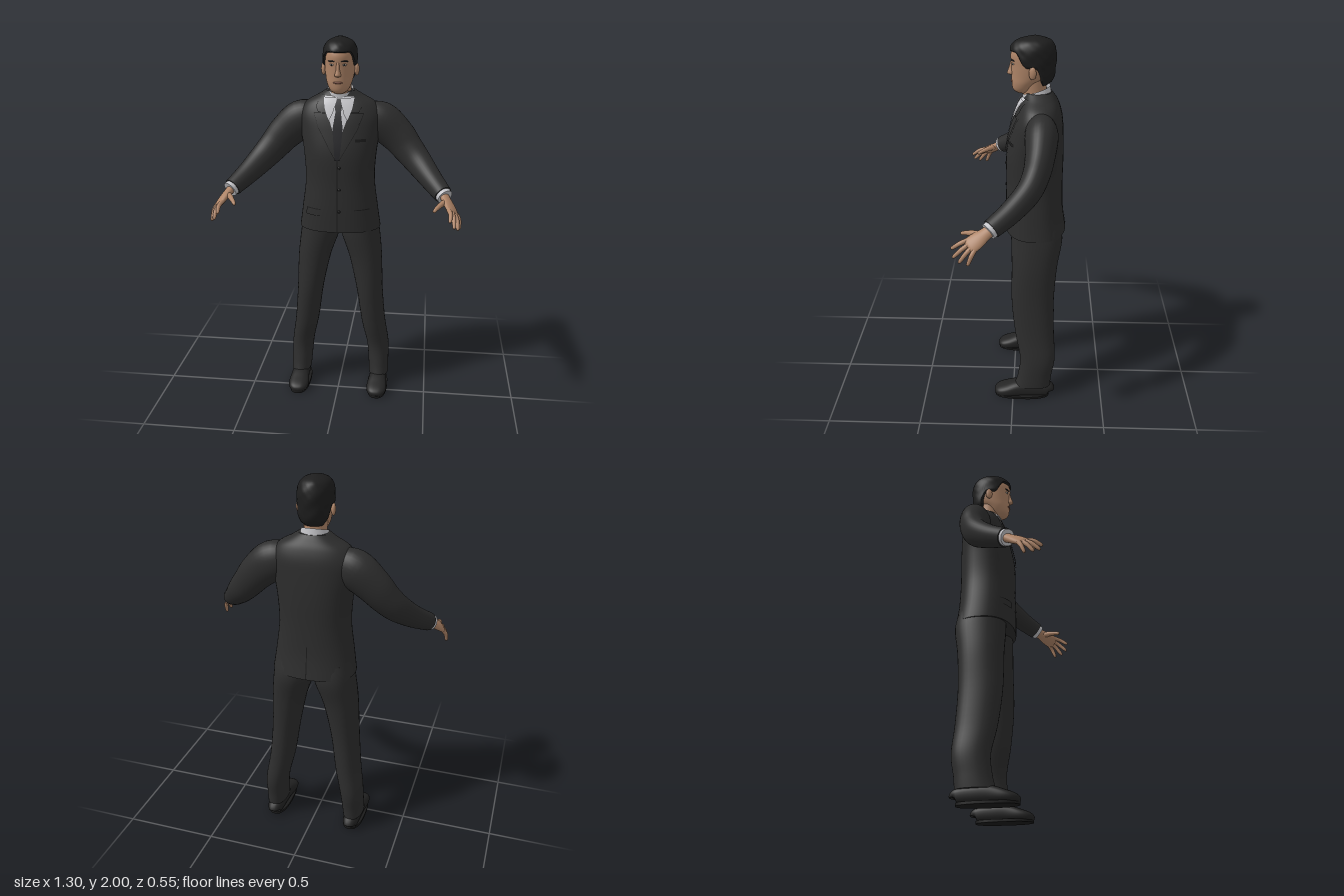
import * as THREE from 'three';

const mat = (name, color, side = THREE.FrontSide) => {
  const m = new THREE.MeshStandardMaterial({ color, side });
  m.name = name;
  return m;
};
const M = {
  suit: mat('suit cloth', 0x2d2d2d),
  seam: mat('seam and buttons', 0x1b1b1b),
  tie: mat('tie silk', 0x252528),
  shirt: mat('shirt cotton', 0xc4c4c8, THREE.DoubleSide),
  skin: mat('skin', 0xae8467),
  lip: mat('lips', 0x8f6050),
  hair: mat('hair', 0x1d1d1d, THREE.DoubleSide),
  eye: mat('eye white', 0xb9b2aa),
  shoe: mat('shoe leather', 0x232323),
};
const V = (x, y, z) => new THREE.Vector3(x, y, z);
const spow = (v, e) => Math.sign(v) * Math.abs(v) ** e;

// Smooth interpolation through rows of numbers, u in 0..1
function sample(rows, u) {
  const n = rows.length - 1, f = Math.min(u * n, n - 1e-9), i = Math.floor(f), t = f - i;
  const at = k => rows[Math.max(0, Math.min(n, k))];
  return rows[i].map((b, k) => {
    const a = at(i - 1)[k], c = at(i + 1)[k], d = at(i + 2)[k];
    return b + 0.5 * t * (c - a + t * (2 * a - 5 * b + 4 * c - d + t * (3 * (b - c) + d - a)));
  });
}
// Row of an upright loft at a given height
function rowAt(rows, y) {
  let lo = 0, hi = 1;
  for (let k = 0; k < 30; k++) {
    const m = (lo + hi) / 2;
    if (sample(rows, m)[1] < y) lo = m; else hi = m;
  }
  return sample(rows, (lo + hi) / 2);
}
// Skin a list of point rings; wrapped rings may be capped
function skinRings(rings, wrap, caps) {
  const pos = [], idx = [], n = rings[0].length;
  const add = p => pos.push(p.x, p.y, p.z) / 3 - 1;
  rings.forEach(r => r.forEach(add));
  for (let i = 0; i < rings.length - 1; i++)
    for (let j = 0; j < (wrap ? n : n - 1); j++) {
      const k = (j + 1) % n, a = i * n + j, b = i * n + k;
      idx.push(a, b, b + n, a, b + n, a + n);
    }
  if (caps) [rings[0], rings[rings.length - 1]].forEach((r, top) => {
    const c = add(r.reduce((s, p) => s.add(p), V(0, 0, 0)).divideScalar(n));
    const first = r.map(add)[0];
    for (let j = 0; j < n; j++) {
      const a = first + j, b = first + (j + 1) % n;
      if (top) idx.push(c, a, b); else idx.push(c, b, a);
    }
  });
  const g = new THREE.BufferGeometry();
  g.setAttribute('position', new THREE.Float32BufferAttribute(pos, 3));
  g.setIndex(idx);
  g.computeVertexNormals();
  return g;
}
// Loft of rows [x, y, z, sideRadius, frontRadius]; with ref the rings follow the path
function loft(rows, { seg = 32, steps = 5, e = 1, ref = null, caps = true, tweak = null } = {}) {
  const N = (rows.length - 1) * steps, rings = [];
  const point = u => V(...sample(rows, Math.max(0, Math.min(1, u))));
  for (let i = 0; i <= N; i++) {
    const u = i / N, [x, y, z, rs, rf] = sample(rows, u);
    let S = V(1, 0, 0), F = V(0, 0, 1);
    if (ref) {
      const T = point(u + 0.02).sub(point(u - 0.02)).normalize();
      F = ref.clone().addScaledVector(T, -ref.dot(T)).normalize();
      S = T.clone().cross(F);
    }
    rings.push(Array.from({ length: seg }, (_, j) => {
      const t = j / seg * Math.PI * 2;
      const p = V(x, y, z).addScaledVector(S, rs * spow(Math.sin(t), e)).addScaledVector(F, rf * spow(Math.cos(t), e));
      if (tweak) tweak(p, t, u);
      return p;
    }));
  }
  return skinRings(rings, true, caps);
}

const TORSO_E = 0.86;
const TORSO = [
  [0, 0.98, -0.115, 0.222, 0.16], [0, 1.1, -0.106, 0.205, 0.152], [0, 1.25, -0.105, 0.187, 0.148],
  [0, 1.4, -0.106, 0.195, 0.148], [0, 1.52, -0.115, 0.213, 0.135], [0, 1.6, -0.122, 0.218, 0.121],
  [0, 1.66, -0.125, 0.185, 0.1], [0, 1.7, -0.125, 0.118, 0.078], [0, 1.725, -0.12, 0.078, 0.066]];
// Thin cloth piece laid on the jacket, rows [y, x0, x1] from bottom to top
function patch(rows, lift, s = 1, dir = 1) {
  const rings = [], N = (rows.length - 1) * 5;
  for (let i = 0; i <= N; i++) {
    const f = Math.min(i / 5, rows.length - 1 - 1e-9), k = Math.floor(f), t = f - k;
    const [y, x0, x1] = rows[k].map((v, c) => v + (rows[k + 1][c] - v) * t);
    const [, , cz, rx, rz] = rowAt(TORSO, y);
    const ring = [];
    for (let j = 0; j <= 6; j++) {
      const x = x0 + (x1 - x0) * j / 6, q = Math.min(1, Math.abs(x) / rx);
      ring.push(V(x * s, y, cz + dir * (rz * (1 - q ** (2 / TORSO_E)) ** (TORSO_E / 2) + lift)));
    }
    rings.push(s * dir < 0 ? ring.reverse() : ring);
  }
  return skinRings(rings, false, false);
}

const HAIR = [
  [0, 1.755, -0.102, 0.06, 0.068], [0, 1.8, -0.097, 0.083, 0.1], [0, 1.86, -0.09, 0.089, 0.114],
  [0, 1.91, -0.09, 0.09, 0.117], [0, 1.95, -0.09, 0.083, 0.108], [0, 1.98, -0.095, 0.06, 0.08],
  [0, 2.0, -0.1, 0.012, 0.015]];
// Hair cap with a hairline that drops from forehead to nape
function hairCap() {
  const rings = [], seg = 72, N = 28, sm = THREE.MathUtils.smoothstep;
  for (let i = 0; i <= N; i++) rings.push(Array.from({ length: seg }, (_, j) => {
    const t = j / seg * Math.PI * 2, c = Math.cos(t);
    const low = 1.855 + 0.072 * sm(c, 0.3, 0.75) - 0.092 * sm(-c, 0.15, 0.6);
    const y = low + (1.999 - low) * Math.sin(i / N * Math.PI / 2);
    const [, , cz, rx, rz] = rowAt(HAIR, y);
    const k = i ? 1 + 0.014 * Math.sin(9 * t + 30 * y) * Math.sin(110 * y + 3 * t) : 0.9;
    return V(rx * k * Math.sin(t), y, cz + rz * k * c);
  }));
  return skinRings(rings, true, true);
}

export function createModel() {
  const root = new THREE.Group();
  root.name = 'man in suit';
  const add = (name, geo, m, parent = root) => {
    const mesh = new THREE.Mesh(geo, m);
    mesh.name = name;
    parent.add(mesh);
    return mesh;
  };
  const blob = (name, m, p, r) => {
    const mesh = add(name, new THREE.SphereGeometry(1, 20, 14), m);
    mesh.position.set(...p);
    mesh.scale.set(...r);
    return mesh;
  };

  // Jacket and its front
  add('jacket', loft(TORSO, { seg: 48, e: TORSO_E }), M.suit);
  add('shirtFront', patch([[1.42, -0.004, 0.004], [1.54, -0.03, 0.03], [1.6, -0.056, 0.056], [1.7, -0.078, 0.078]], 0.003), M.shirt);
  add('tie', patch([[1.38, -0.012, 0.012], [1.54, -0.027, 0.027], [1.625, -0.014, 0.014], [1.635, -0.016, 0.016], [1.675, -0.023, 0.023], [1.69, -0.018, 0.018]], 0.009), M.tie);
  add('frontSeam', patch([[0.985, -0.002, 0.002], [1.38, -0.002, 0.002]], 0.003), M.seam);
  add('backVent', patch([[0.985, -0.003, 0.003], [1.16, -0.002, 0.002]], 0.003, 1, -1), M.seam);
  add('breastPocket', patch([[1.475, 0.09, 0.145], [1.49, 0.09, 0.145]], 0.003), M.seam);
  for (const y of [1.1, 1.22, 1.34]) {
    const [, , cz, , rz] = rowAt(TORSO, y);
    blob('button', M.seam, [0.01, y, cz + rz + 0.001], [0.008, 0.008, 0.004]);
  }

  // Neck and shirt collar
  add('neck', loft([[0, 1.65, -0.115, 0.06, 0.058], [0, 1.72, -0.1, 0.058, 0.06], [0, 1.8, -0.095, 0.06, 0.062]]), M.skin);
  add('collar', loft([[0, 1.67, -0.117, 0.082, 0.076], [0, 1.735, -0.108, 0.068, 0.07]],
    { caps: false, tweak: (p, t, u) => { p.y -= 0.022 * u * Math.cos(t); } }), M.shirt);

  // Head and face
  add('head', loft([
    [0, 1.718, -0.048, 0.025, 0.035], [0, 1.735, -0.046, 0.047, 0.054], [0, 1.77, -0.056, 0.064, 0.07],
    [0, 1.81, -0.08, 0.074, 0.095], [0, 1.86, -0.09, 0.08, 0.106], [0, 1.91, -0.09, 0.081, 0.109],
    [0, 1.95, -0.095, 0.072, 0.095], [0, 1.975, -0.1, 0.05, 0.065], [0, 1.985, -0.1, 0.01, 0.01]], { seg: 40 }), M.skin);
  add('nose', loft([[0, 1.807, 0.012, 0.008, 0.01], [0, 1.815, 0.016, 0.017, 0.021], [0, 1.842, 0.013, 0.01, 0.016],
    [0, 1.878, 0.01, 0.008, 0.009]], { seg: 16 }), M.skin);
  blob('mouth', M.lip, [0, 1.778, 0.012], [0.024, 0.006, 0.007]);
  add('hair', hairCap(), M.hair);

  for (const s of [1, -1]) {
    const side = s > 0 ? 'left' : 'right';
    const flip = rows => rows.map(([x, ...r]) => [x * s, ...r]);

    // Face details
    blob(side + 'Ear', M.skin, [s * 0.087, 1.835, -0.09], [0.012, 0.032, 0.019]).rotation.y = s * -0.3;
    blob(side + 'Eye', M.eye, [s * 0.032, 1.867, 0.006], [0.013, 0.005, 0.005]).rotation.y = s * 0.35;
    blob(side + 'Iris', M.seam, [s * 0.032, 1.867, 0.0095], [0.005, 0.005, 0.003]);
    blob(side + 'Brow', M.hair, [s * 0.034, 1.885, 0.008], [0.02, 0.004, 0.005]).rotation.y = s * 0.38;

    // Collar wing, lapel and pocket flap
    add(side + 'CollarWing', patch([[1.588, 0.045, 0.049], [1.62, 0.028, 0.064], [1.65, 0.02, 0.073], [1.695, 0.008, 0.08]], 0.012, s), M.shirt);
    add(side + 'LowerLapel', patch([[1.38, 0.002, 0.008], [1.54, 0.029, 0.1], [1.62, 0.058, 0.13]], 0.008, s), M.suit);
    add(side + 'UpperLapel', patch([[1.622, 0.059, 0.105], [1.65, 0.068, 0.12], [1.705, 0.076, 0.098]], 0.008, s), M.suit);
    add(side + 'LapelEdge', patch([[1.38, 0.008, 0.011], [1.54, 0.1, 0.104], [1.62, 0.13, 0.133]], 0.003, s), M.seam);
    add(side + 'PocketFlap', patch([[1.07, 0.095, 0.175], [1.105, 0.09, 0.17]], 0.007, s), M.suit);
    add(side + 'PocketSeam', patch([[1.105, 0.09, 0.17], [1.11, 0.09, 0.17]], 0.005, s), M.seam);

    // Sleeve and shirt cuff
    const armRef = V(0.6 * s, 0.8, 0);
    add(side + 'Sleeve', loft(flip([
      [0.12, 1.575, -0.13, 0.065, 0.08], [0.21, 1.56, -0.138, 0.082, 0.103], [0.3, 1.488, -0.132, 0.073, 0.094],
      [0.36, 1.42, -0.115, 0.066, 0.083], [0.42, 1.355, -0.078, 0.062, 0.073], [0.49, 1.285, 0.002, 0.055, 0.059],
      [0.553, 1.23, 0.088, 0.048, 0.048]]), { ref: armRef }), M.suit);
    add(side + 'Cuff', loft(flip([[0.54, 1.241, 0.07, 0.042, 0.042], [0.564, 1.221, 0.102, 0.042, 0.042]]), { ref: armRef }), M.shirt);

    // Hand: palm, four fingers and thumb
    const hand = new THREE.Group();
    hand.name = side + 'Hand';
    root.add(hand);
    const across = V(0.64 * s, -0.5, -0.57);
    add('palm', loft(flip([
      [0.553, 1.232, 0.085, 0.023, 0.03], [0.57, 1.21, 0.117, 0.021, 0.032], [0.588, 1.188, 0.152, 0.019, 0.041],
      [0.603, 1.167, 0.184, 0.015, 0.042], [0.608, 1.16, 0.195, 0.008, 0.034]]), { ref: across, seg: 24 }), M.skin, hand);
    [[0.59, 1.142, 0.276], [0.612, 1.107, 0.267], [0.632, 1.09, 0.238], [0.641, 1.082, 0.196]].forEach(([x, y, z], i) => {
      const k = (i - 1.5) * 0.021, b = [0.602 + 0.64 * k, 1.169 - 0.5 * k, 0.181 - 0.57 * k];
      const on = (t, r, bend) => [b[0] + (x - b[0]) * t + bend, b[1] + (y - b[1]) * t + bend, b[2] + (z - b[2]) * t, r, r];
      add('finger', loft(flip([on(0, 0.0115, 0), on(0.45, 0.0112, 0.006), on(0.9, 0.0085, 0.001), on(1, 0.003, 0)]),
        { ref: across, seg: 12 }), M.skin, hand);
    });
    add('thumb', loft(flip([[0.572, 1.205, 0.13, 0.017, 0.017], [0.546, 1.202, 0.17, 0.014, 0.015],
      [0.522, 1.192, 0.21, 0.011, 0.011], [0.51, 1.183, 0.232, 0.008, 0.008], [0.508, 1.181, 0.237, 0.002, 0.002]]),
      { ref: V(0, 1, 0), seg: 14 }), M.skin, hand);

    // Trouser leg
    add(side + 'TrouserLeg', loft(flip([
      [0.23, 0.075, -0.11, 0.056, 0.1], [0.227, 0.14, -0.122, 0.058, 0.094], [0.22, 0.25, -0.136, 0.062, 0.097],
      [0.193, 0.4, -0.118, 0.067, 0.107], [0.17, 0.6, -0.105, 0.073, 0.115], [0.144, 0.8, -0.112, 0.091, 0.122],
      [0.111, 0.95, -0.122, 0.108, 0.136], [0.105, 1.05, -0.115, 0.098, 0.125]]), { e: 0.92 }), M.suit);

    // Shoe and sole
    add(side + 'Shoe', loft(flip([
      [0.228, 0.036, -0.206, 0.026, 0.026], [0.228, 0.043, -0.195, 0.04, 0.04], [0.228, 0.047, -0.12, 0.046, 0.046],
      [0.228, 0.047, -0.04, 0.05, 0.046], [0.227, 0.036, 0.03, 0.057, 0.035], [0.226, 0.028, 0.075, 0.05, 0.026],
      [0.226, 0.021, 0.097, 0.03, 0.016], [0.226, 0.019, 0.103, 0.008, 0.006]]), { e: 0.8, ref: V(0, 1, 0) }), M.shoe);
    add(side + 'Sole', loft(flip([[0.227, 0, -0.051, 0.058, 0.153], [0.227, 0.014, -0.051, 0.058, 0.153]]), { e: 0.8, steps: 1 }), M.seam);
  }
  return root;
}
